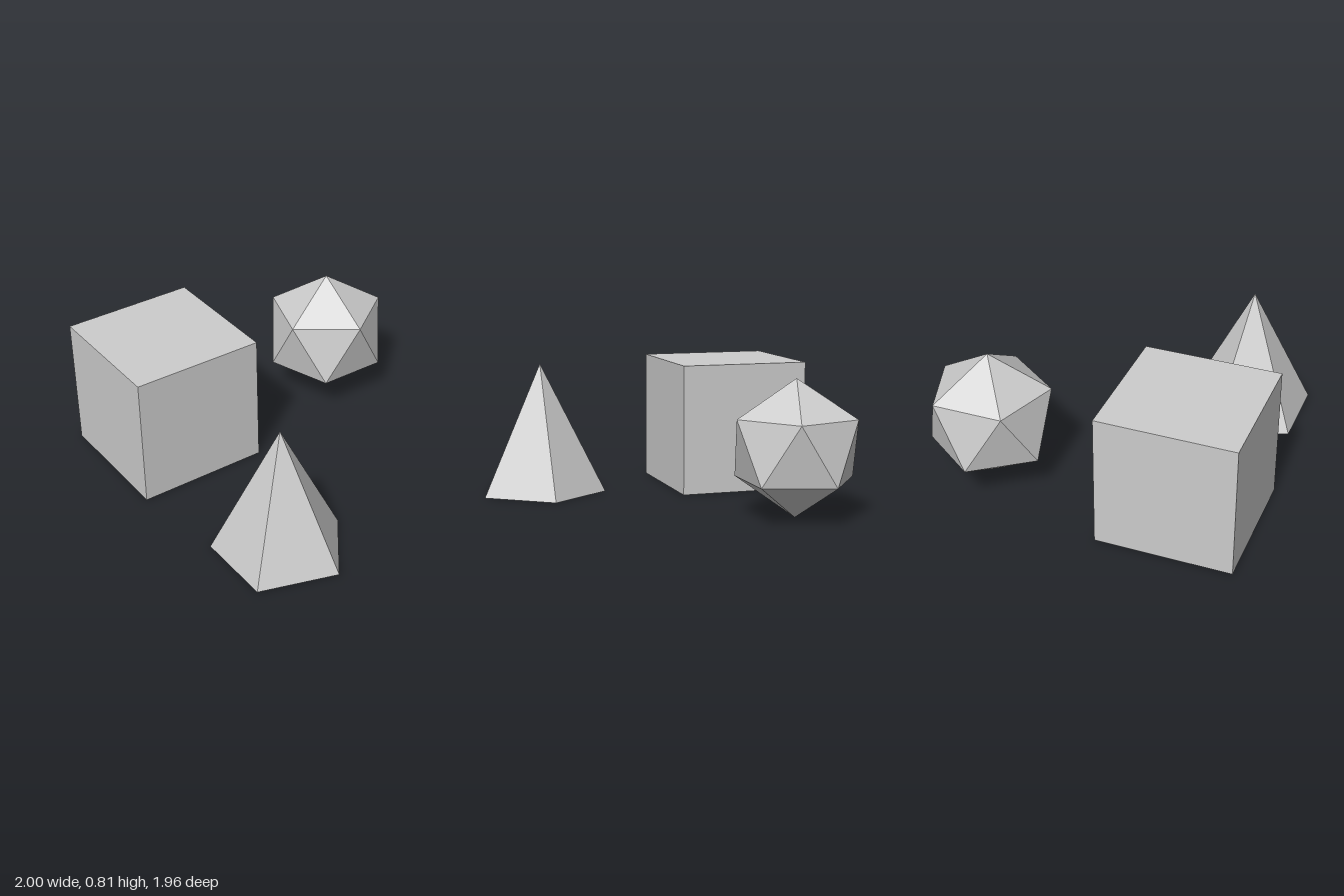
import * as THREE from 'three';

const SIZE = 0.805; // shared height of the three solids
const R = SIZE / 2;

export function createModel() {
  const group = new THREE.Group();
  const grey = new THREE.MeshStandardMaterial({ color: 0xcccccc, flatShading: true });
  grey.name = 'light grey';

  const add = (name, geometry, x, z) => {
    const mesh = new THREE.Mesh(geometry, grey);
    mesh.name = name;
    mesh.position.set(x, R, z);
    group.add(mesh);
  };

  // Cube at the front right
  add('cube', new THREE.BoxGeometry(SIZE, SIZE, SIZE), -0.5975, 0.575);

  // Five-sided pyramid with one base corner pointing backwards
  add('pyramid', new THREE.ConeGeometry(R, SIZE, 5).rotateY(Math.PI), 0.617, 0.575);

  // Icosahedron standing on a corner, upper ring corner towards +x
  const phi = (1 + Math.sqrt(5)) / 2;
  add('icosahedron', new THREE.IcosahedronGeometry(R, 0).rotateZ(-Math.atan(1 / phi)), -0.5975, -0.637);

  return group;
}
